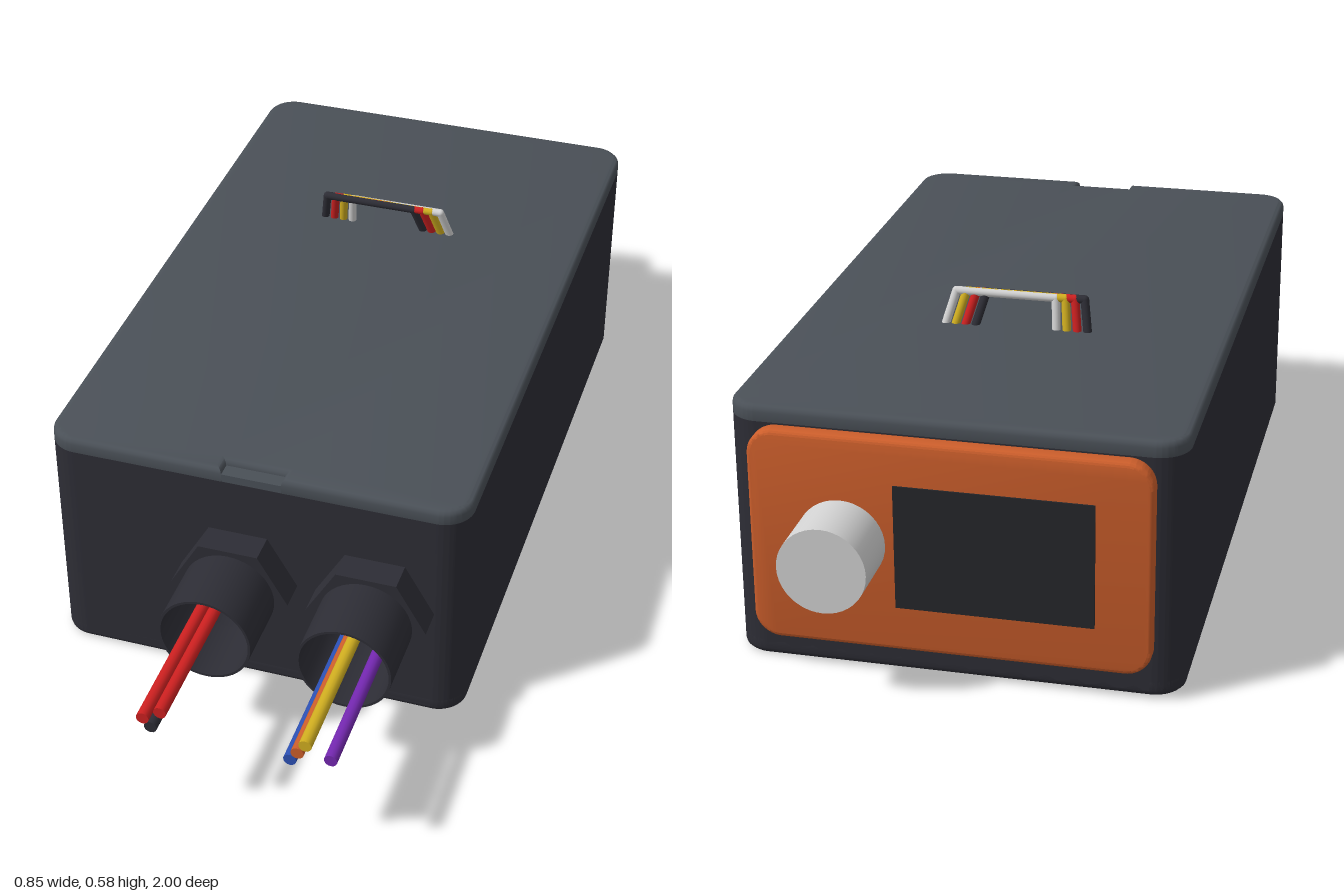
import * as THREE from 'three';
import { toCreasedNormals } from 'three/addons/utils/BufferGeometryUtils.js';

const mat = (name, color) => new THREE.MeshStandardMaterial({ name, color });

export function createModel() {
  const model = new THREE.Group();
  model.name = 'instrumentBox';
  const M = {
    body: mat('charcoal', 0x2d2d35),
    lid: mat('slate', 0x4a5057),
    orange: mat('orange', 0xcc5e2b),
    silver: mat('lightGrey', 0xd2d2d2),
    red: mat('red', 0xcc2020),
    yellow: mat('yellow', 0xd0ae20),
    blue: mat('blue', 0x2c50b4),
    purple: mat('purple', 0x7428b0),
    peach: mat('peach', 0xd09070),
    screen: mat('screenBlack', 0x25262a),
  };
  const add = (name, geometry, material, x = 0, y = 0, z = 0) => {
    const mesh = new THREE.Mesh(geometry, material);
    mesh.name = name;
    mesh.position.set(x, y, z);
    model.add(mesh);
    return mesh;
  };
  const extrude = (shape, depth, bevel = 0) => {
    const g = new THREE.ExtrudeGeometry(shape, {
      depth: depth - 2 * bevel, bevelEnabled: bevel > 0, bevelThickness: bevel,
      bevelSize: bevel, bevelOffset: -bevel, bevelSegments: 3, curveSegments: 24,
    });
    g.translate(0, 0, bevel);
    return toCreasedNormals(g, 0.6);
  };
  const lay = (g) => g.rotateX(-Math.PI / 2); // shape y becomes -z, depth becomes y

  // Rounded rectangle, optionally with a notch in its lower edge
  const roundRect = (x0, x1, y0, y1, r, notch) => {
    const s = new THREE.Shape();
    s.moveTo(x0 + r, y0);
    if (notch) {
      s.lineTo(-notch.w, y0).lineTo(-notch.w, y0 + notch.d);
      s.lineTo(notch.w, y0 + notch.d).lineTo(notch.w, y0);
    }
    s.lineTo(x1 - r, y0).absarc(x1 - r, y0 + r, r, -Math.PI / 2, 0);
    s.lineTo(x1, y1 - r).absarc(x1 - r, y1 - r, r, 0, Math.PI / 2);
    s.lineTo(x0 + r, y1).absarc(x0 + r, y1 - r, r, Math.PI / 2, Math.PI);
    s.lineTo(x0, y0 + r).absarc(x0 + r, y0 + r, r, Math.PI, Math.PI * 1.5);
    return s;
  };
  const hole = (x, y, r) => new THREE.Path().absarc(x, y, r, 0, Math.PI * 2, true);

  const W = 0.425, F = 0.57, B = -0.845, R = 0.06, T = 0.03;
  const glandX = [-0.03, 0.247], glandY = 0.256;

  // Floor and lid slabs with softened rims
  add('floor', lay(extrude(roundRect(-W, W, -F, -B, R), 0.042, 0.012)), M.body);
  add('lid', lay(extrude(roundRect(-W, W, -F, -B, R, { w: 0.06, d: 0.03 }), 0.042, 0.012)), M.lid, 0, 0.468);
  add('lidNotchFloor', new THREE.BoxGeometry(0.144, 0.024, 0.05), M.lid, 0, 0.485, 0.5445);

  // Side walls with rounded corners
  for (const side of [1, -1]) {
    const s = new THREE.Shape();
    const c = W - R;
    s.moveTo(c, -F).absarc(c, -F + R, R, -Math.PI / 2, 0);
    s.lineTo(W, -B - R).absarc(c, -B - R, R, 0, Math.PI / 2);
    s.lineTo(c, -B - T).absarc(c, -B - R, R - T, Math.PI / 2, 0, true);
    s.lineTo(W - T, -F + R).absarc(c, -F + R, R - T, 0, -Math.PI / 2, true);
    const g = lay(extrude(s, 0.468));
    // half a turn about the box's own centre gives the other wall
    if (side < 0) g.translate(0, 0, -(F + B) / 2).rotateY(Math.PI).translate(0, 0, (F + B) / 2);
    add(side > 0 ? 'leftWall' : 'rightWall', g, M.body, 0, 0.012);
  }

  // Front wall with cable holes, back wall with panel opening
  const c = W - R;
  const front = roundRect(-c, c, 0.012, 0.48, 0.0001);
  glandX.forEach((x) => front.holes.push(hole(x, glandY, 0.046)));
  add('frontWall', extrude(front, T), M.body, 0, 0, F - T);
  const back = roundRect(-c, c, 0.012, 0.48, 0.0001);
  back.holes.push(new THREE.Path(roundRect(-0.33, 0.33, 0.1, 0.44, 0.02).getPoints(6)));
  add('backWall', extrude(back, T), M.body, 0, 0, B);

  // Rear control panel, screen and knob
  add('controlPanel', extrude(roundRect(-0.374, 0.374, 0.06, 0.48, 0.05), 0.035, 0.008), M.orange, 0, 0, -0.88);
  add('screen', new THREE.BoxGeometry(0.37, 0.245, 0.006), M.screen, -0.085, 0.272, -0.88);
  add('screenBacking', new THREE.BoxGeometry(0.37, 0.245, 0.008), M.peach, -0.085, 0.272, -0.841);
  const knob = new THREE.CylinderGeometry(0.083, 0.083, 0.122, 40).rotateX(Math.PI / 2);
  add('knob', knob, M.silver, 0.2, 0.272, -0.939);

  // Cable glands: hexagonal nut and hollow sleeve
  glandX.forEach((x) => {
    const hex = new THREE.Shape();
    for (let i = 0; i < 6; i++) {
      const a = (i * Math.PI) / 3;
      hex[i ? 'lineTo' : 'moveTo'](0.12 * Math.cos(a), 0.12 * Math.sin(a));
    }
    hex.closePath();
    hex.holes.push(hole(0, 0, 0.088));
    add('glandNut', extrude(hex, 0.06), M.body, x, glandY, F);
    const ring = new THREE.Shape().absarc(0, 0, 0.093, 0, Math.PI * 2);
    ring.holes.push(hole(0, 0, 0.088));
    add('glandSleeve', extrude(ring, 0.14), M.body, x, glandY, 0.63);
  });

  // Round wire with capped ends along straight segments
  const wire = (name, points, r, material) => {
    const path = new THREE.CurvePath();
    const v = points.map((p) => new THREE.Vector3(...p));
    for (let i = 1; i < v.length; i++) {
      const d = v[i].clone().sub(v[i - 1]);
      const g = new THREE.CylinderGeometry(r, r, d.length(), 14);
      g.applyQuaternion(new THREE.Quaternion().setFromUnitVectors(
        new THREE.Vector3(0, 1, 0), d.clone().normalize()));
      const m = v[i].clone().add(v[i - 1]).multiplyScalar(0.5);
      add(name, g, material, m.x, m.y, m.z);
      if (i > 1) add(name + 'Bend', new THREE.SphereGeometry(r, 14, 10), material, ...points[i - 1]);
    }
    return path;
  };

  // Cables leaving the glands; each bends aside inside the box
  [
    ['redCable', -0.065, 0.255, 0.0, 0.01, M.red],
    ['redCable', -0.03, 0.278, 0.006, 0.02, M.red],
    ['blackCable', -0.05, 0.237, 0.014, 0.035, M.body],
    ['yellowCable', 0.247, 0.277, -0.015, 0.005, M.yellow],
    ['purpleCable', 0.295, 0.255, -0.012, -0.03, M.purple],
    ['blueCable', 0.218, 0.235, 0.03, -0.01, M.blue],
    ['orangeCable', 0.232, 0.255, -0.02, 0.02, M.orange],
  ].forEach(([name, x, y, dx, dy, m]) =>
    wire(name, [[x, y, 1], [x, y, 0.53], [x + dx, y + dy, 0.3]], 0.0125, m));

  // Ribbon of four wires looping above the lid
  [['black', M.body], ['red', M.red], ['yellow', M.yellow], ['white', M.silver]].forEach(([n, m], i) => {
    const z = -0.348 - 0.001 * i;
    wire(n + 'LoopWire', [
      [-0.15 + 0.021 * i, 0.5, -0.364],
      [-0.14 + 0.019 * i, 0.571, z],
      [0.057 + 0.02 * i, 0.571, z],
      [0.077 + 0.02 * i, 0.5, -0.372],
    ], 0.0085, m);
  });

  return model;
}
